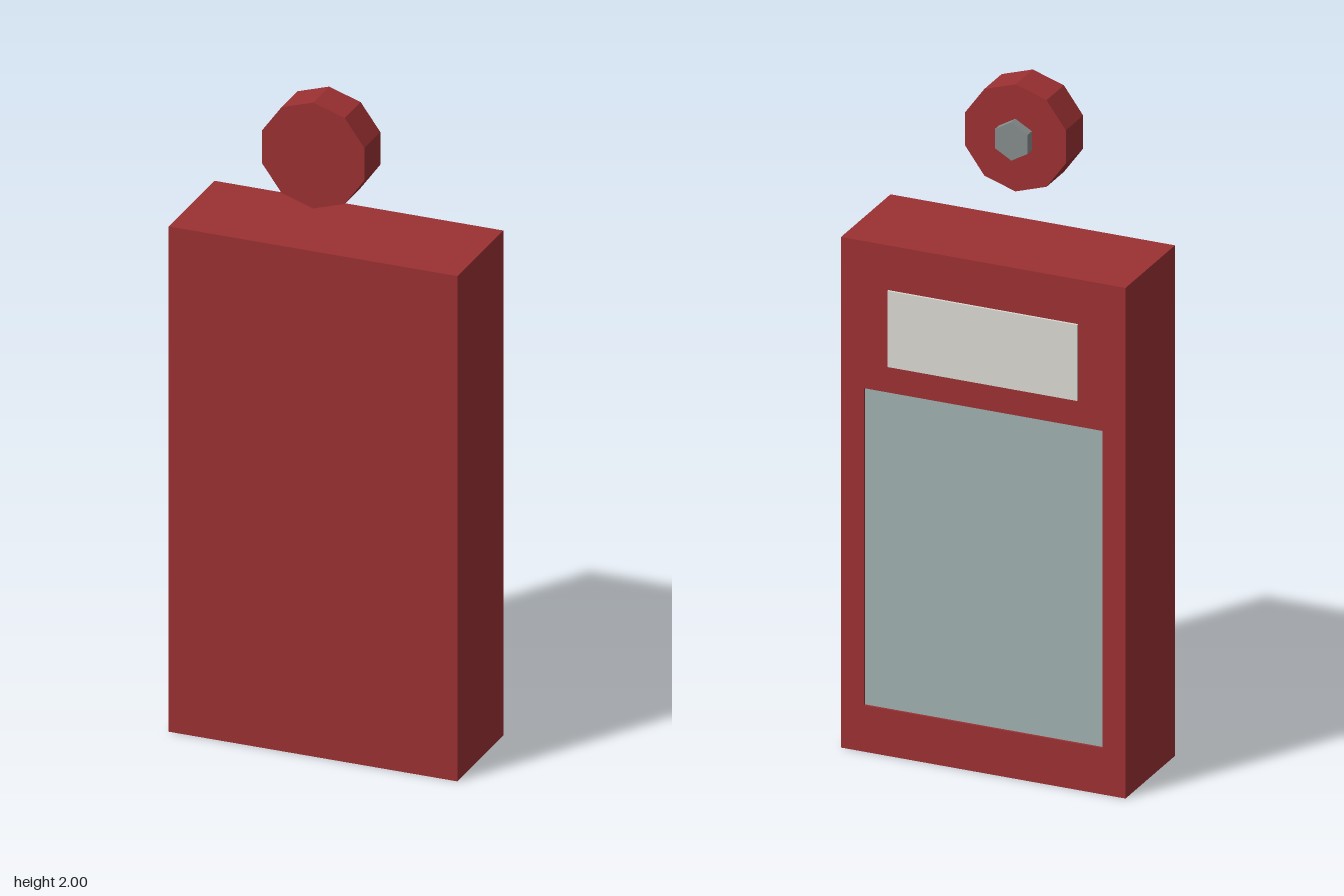
import * as THREE from 'three';

const material = (name, color) => {
  const m = new THREE.MeshStandardMaterial({ color });
  m.name = name;
  return m;
};

export function createModel() {
  const red = material('dark red', 0x9b3032);
  const glass = material('grey glass', 0x9fb0b0);
  const pale = material('pale plate', 0xdad9d3);
  const steel = material('steel grey', 0x868c8c);

  const model = new THREE.Group();
  model.name = 'cabinet';

  const add = (name, geometry, mat, x, y, z) => {
    const mesh = new THREE.Mesh(geometry, mat);
    mesh.name = name;
    mesh.position.set(x, y, z);
    model.add(mesh);
    return mesh;
  };
  const rectangle = (path, x, y0, y1) => {
    path.moveTo(-x, y0);
    path.lineTo(x, y0);
    path.lineTo(x, y1);
    path.lineTo(-x, y1);
    path.closePath();
    return path;
  };

  // Case: solid slab with a shallow frame on its back
  const width = 0.87, height = 1.545, frontZ = 0.169, backZ = -0.163, recess = 0.012;
  const slabDepth = frontZ - backZ - recess;
  add('caseBody', new THREE.BoxGeometry(width, height, slabDepth), red,
    0, height / 2, frontZ - slabDepth / 2);
  const frame = rectangle(new THREE.Shape(), width / 2, 0, height);
  frame.holes.push(rectangle(new THREE.Path(), 0.365, 0.14, 1.10));
  add('backFrame', new THREE.ExtrudeGeometry(frame, { depth: recess, bevelEnabled: false }),
    red, 0, 0, backZ);

  // Recessed window and raised plate above it
  add('window', new THREE.BoxGeometry(0.73, 0.96, 0.004), glass, 0, 0.62, backZ + recess - 0.002);
  add('signPlate', new THREE.BoxGeometry(0.58, 0.23, 0.007), pale, 0, 1.295, backZ - 0.0035);

  // Faceted disc and hexagonal stud, each with a corner pointing up
  const prism = (name, radius, sides, z0, z1, mat) => {
    const g = new THREE.CylinderGeometry(radius, radius, z1 - z0, sides).toNonIndexed();
    g.rotateX(-Math.PI / 2);
    g.computeVertexNormals();
    add(name, g, mat, 0, 1.838, (z0 + z1) / 2);
  };
  prism('disc', 0.162, 10, 0.053, frontZ, red);
  prism('stud', 0.058, 6, 0.025, 0.053, steel);

  return model;
}
